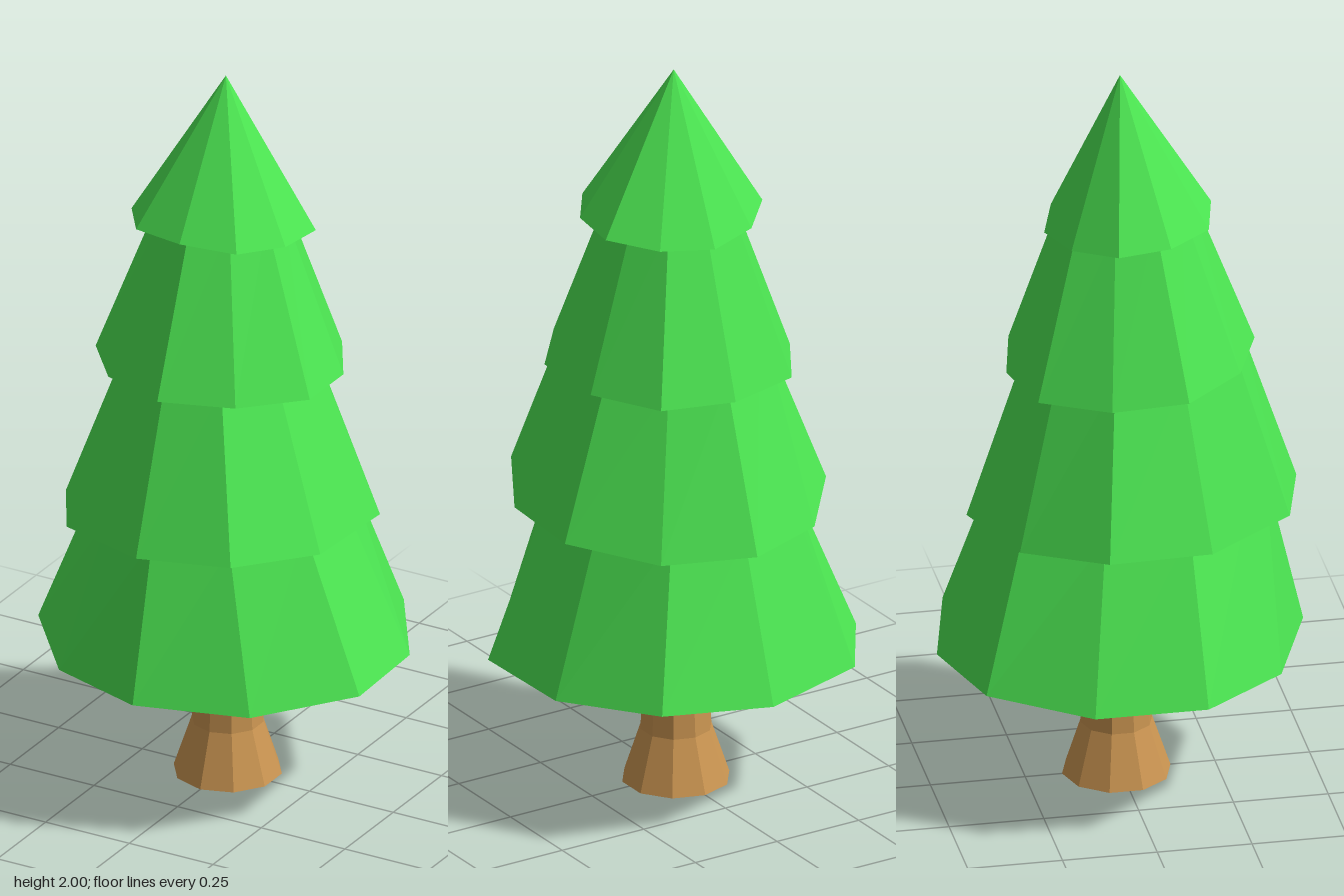
import * as THREE from 'three';

const leaf = new THREE.MeshStandardMaterial({ color: 0x4ce652, flatShading: true });
const bark = new THREE.MeshStandardMaterial({ color: 0xcc9652, flatShading: true });

// Mirrors a half outline (back to front along +x) into a closed ten-point ring.
function mirrorRing(half) {
  const pts = half.map(p => new THREE.Vector3(...p));
  const other = pts.slice(1, -1).reverse().map(p => new THREE.Vector3(-p.x, p.y, p.z));
  return pts.concat(other);
}

// Joins rings from bottom to top and closes both ends with fans.
function loft(rings, bottom, top) {
  const pos = [];
  const tri = (...vs) => vs.forEach(v => pos.push(v.x, v.y, v.z));
  const n = rings[0].length;
  for (let i = 0; i < n; i++) {
    const j = (i + 1) % n;
    tri(bottom, rings[0][i], rings[0][j]);
    for (let k = 0; k < rings.length - 1; k++) {
      const lo = rings[k], hi = rings[k + 1];
      tri(lo[j], lo[i], hi[i]);
      tri(lo[j], hi[i], hi[j]);
    }
    const last = rings[rings.length - 1];
    tri(top, last[j], last[i]);
  }
  const geo = new THREE.BufferGeometry();
  geo.setAttribute('position', new THREE.Float32BufferAttribute(pos, 3));
  geo.computeVertexNormals();
  return geo;
}

// Each tier: half of its uneven hem, the peak heights of its hollow underside and
// its top, and the shrink, shift and rise that make its upper ring from the hem.
const tiers = [
  { name: 'bottomBranches', underY: 0.48, topY: 0.86, upper: { sx: 0.64, sz: 0.75, dz: 0.02, rise: 0.43 },
    hem: [[0, 0.375, -0.483], [0.295, 0.39, -0.41], [0.46, 0.378, -0.155],
      [0.48, 0.388, 0.14], [0.285, 0.375, 0.37], [0, 0.39, 0.483]] },
  { name: 'lowerMiddleBranches', underY: 1.02, topY: 1.26, upper: { sx: 0.59, sz: 0.66, dz: 0.01, rise: 0.44 },
    hem: [[0, 0.77, -0.405], [0.235, 0.765, -0.31], [0.4, 0.79, -0.105],
      [0.38, 0.785, 0.17], [0.245, 0.81, 0.4], [0, 0.805, 0.465]] },
  { name: 'upperMiddleBranches', underY: 1.37, topY: 1.68, upper: { sx: 0.49, sz: 0.51, dz: 0, rise: 0.45 },
    hem: [[0, 1.17, -0.3], [0.2, 1.175, -0.255], [0.305, 1.18, -0.08],
      [0.32, 1.195, 0.12], [0.19, 1.205, 0.28], [0, 1.21, 0.355]] },
  { name: 'topBranches', underY: 1.74, topY: 2,
    hem: [[0, 1.565, -0.2], [0.14, 1.575, -0.155], [0.24, 1.592, -0.05],
      [0.23, 1.6, 0.09], [0.15, 1.607, 0.205], [0, 1.615, 0.24]] },
];

export function createModel() {
  const tree = new THREE.Group();
  tree.name = 'pineTree';

  // Foliage tiers
  for (const { name, underY, topY, upper, hem } of tiers) {
    const rings = [mirrorRing(hem)];
    if (upper) {
      const { sx, sz, dz, rise } = upper;
      rings.push(rings[0].map(p => new THREE.Vector3(p.x * sx, p.y + rise, p.z * sz + dz)));
    }
    const under = new THREE.Vector3(0, underY, 0);
    const mesh = new THREE.Mesh(loft(rings, under, new THREE.Vector3(0, topY, 0)), leaf);
    mesh.name = name;
    tree.add(mesh);
  }

  // Trunk with a flared foot
  const ring = (r, y) => Array.from({ length: 10 }, (_, i) => {
    const a = i * Math.PI / 5;
    return new THREE.Vector3(r * Math.sin(a), y, -0.01 - r * Math.cos(a));
  });
  const trunk = new THREE.Mesh(loft(
    [ring(0.143, 0), ring(0.095, 0.145), ring(0.075, 0.48)],
    new THREE.Vector3(0, 0, -0.01), new THREE.Vector3(0, 0.48, -0.01)), bark);
  trunk.name = 'trunk';
  tree.add(trunk);

  return tree;
}
